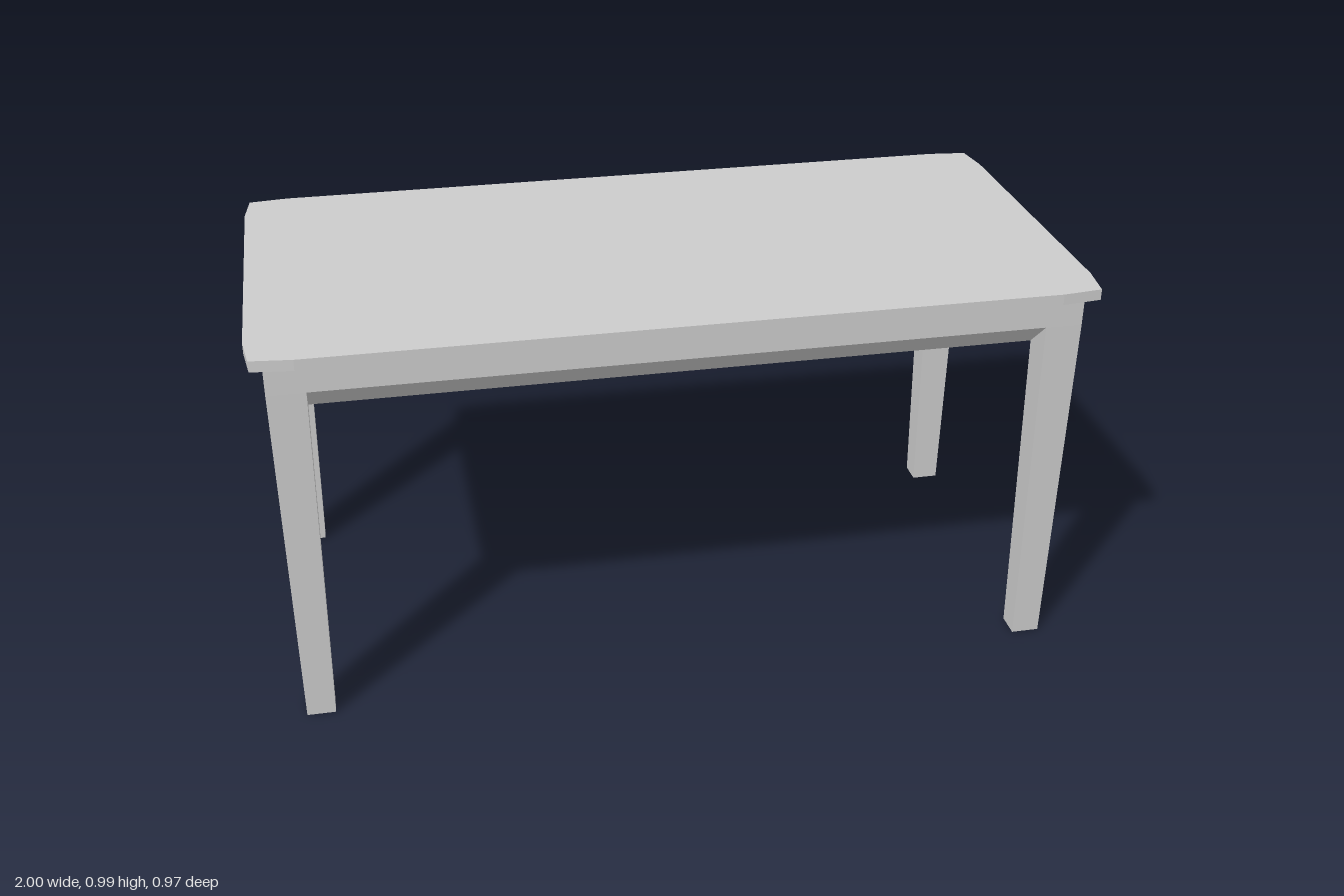
import * as THREE from 'three';

const material = new THREE.MeshStandardMaterial({ color: 0xcccccc, flatShading: true });
const openMaterial = new THREE.MeshStandardMaterial({ color: 0xcccccc, flatShading: true, side: THREE.DoubleSide });

// Rectangular section [xMin, xMax, zMin, zMax] at height y, as a ring of corners
const ring = (y, [x0, x1, z0, z1]) => [[x0, y, z1], [x1, y, z1], [x1, y, z0], [x0, y, z0]];

// Skin between a lower and an upper section, with optional flat bottom
function loft(bottom, top, closedBottom = false) {
  const positions = [];
  const quad = (a, b, c, d) => positions.push(...a, ...b, ...c, ...a, ...c, ...d);
  for (let i = 0; i < 4; i++) {
    const j = (i + 1) % 4;
    quad(bottom[i], bottom[j], top[j], top[i]);
  }
  if (closedBottom) quad(bottom[3], bottom[2], bottom[1], bottom[0]);
  const geometry = new THREE.BufferGeometry();
  geometry.setAttribute('position', new THREE.Float32BufferAttribute(positions, 3));
  geometry.computeVertexNormals();
  return geometry;
}

export function createModel() {
  const table = new THREE.Group();
  table.name = 'table';
  const add = (name, geometry, mat = material) => {
    const mesh = new THREE.Mesh(geometry, mat);
    mesh.name = name;
    table.add(mesh);
    return mesh;
  };

  const topBase = 0.967, apronBase = 0.893, panelBase = 0.82;
  const outer = [-0.96, 0.96, -0.449, 0.449];
  const inner = [-0.87, 0.87, -0.367, 0.367];

  // Thin tabletop with softly clipped corners
  const outline = [
    [0.89, -0.485], [0.988, -0.474], [1, -0.38], [1, 0.38], [0.988, 0.474], [0.89, 0.485],
    [-0.89, 0.485], [-0.988, 0.474], [-1, 0.38], [-1, -0.38], [-0.988, -0.474], [-0.89, -0.485],
  ].map(([x, z]) => new THREE.Vector2(x, z));
  const slab = new THREE.ExtrudeGeometry(new THREE.Shape(outline), { depth: 0.027, bevelEnabled: false });
  slab.rotateX(-Math.PI / 2);
  add('tabletop', slab).position.y = topBase;

  // Upright apron, then the sloped underside closing to a flat panel
  add('apron', loft(ring(apronBase, outer), ring(topBase, outer)));
  add('underside', loft(ring(panelBase, inner), ring(apronBase, outer), true));

  // Four hollow legs, tapering toward the floor
  for (const sx of [-1, 1]) {
    for (const sz of [-1, 1]) {
      const section = (x0, x1, z0, z1) => [
        Math.min(sx * x0, sx * x1), Math.max(sx * x0, sx * x1),
        Math.min(sz * z0, sz * z1), Math.max(sz * z0, sz * z1),
      ];
      const foot = ring(0, section(0.88, 0.95, 0.376, 0.439));
      const head = ring(apronBase, section(0.87, 0.96, 0.367, 0.449));
      add(`${sz > 0 ? 'front' : 'back'}${sx > 0 ? 'Left' : 'Right'}Leg`, loft(foot, head), openMaterial);
    }
  }
  return table;
}
